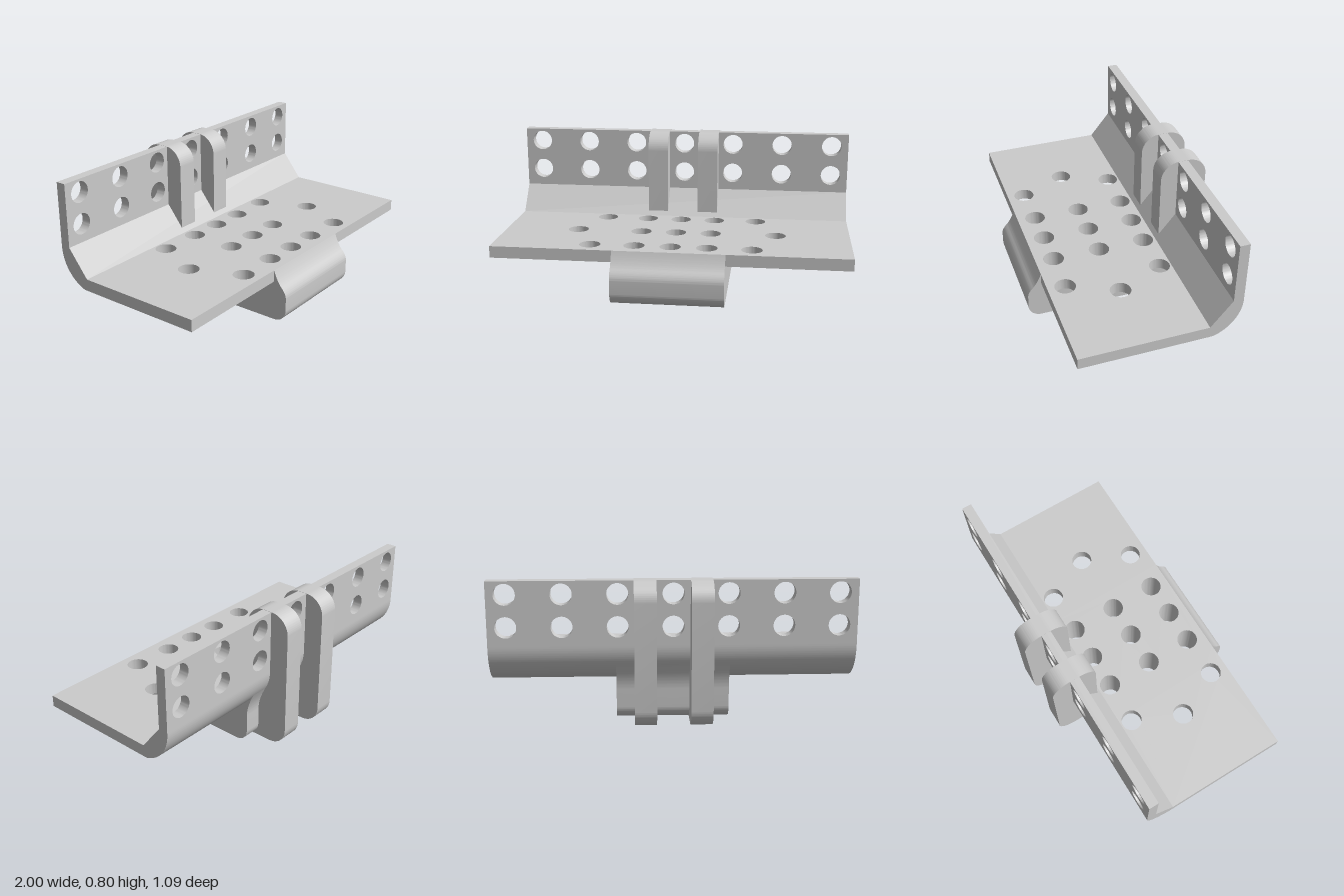
import * as THREE from 'three';
import { toCreasedNormals } from 'three/addons/utils/BufferGeometryUtils.js';

const material = new THREE.MeshStandardMaterial({ color: 0xcccccc });

function extrude(shape, depth) {
  return new THREE.ExtrudeGeometry(shape, { depth, bevelEnabled: false, curveSegments: 24 });
}

function part(name, geometry) {
  const mesh = new THREE.Mesh(toCreasedNormals(geometry, 0.5), material);
  mesh.name = name;
  return mesh;
}

// Rectangle pierced by round holes, given as [x, y] centres
function drilled(x0, x1, y0, y1, holes, radius) {
  const s = new THREE.Shape();
  s.moveTo(x0, y0).lineTo(x1, y0).lineTo(x1, y1).lineTo(x0, y1).closePath();
  for (const [x, y] of holes) s.holes.push(new THREE.Path().absarc(x, y, radius, 0, Math.PI * 2, true));
  return s;
}

// (z, y) profile swept along x between x0 and x1
function sweepX(shape, x0, x1) {
  return extrude(shape, x1 - x0).rotateY(-Math.PI / 2).translate(x1, 0, 0);
}

// (x, z) outline given a thickness from y0 up to y1
function slab(shape, y0, y1) {
  return extrude(shape, y1 - y0).rotateX(Math.PI / 2).translate(0, y1, 0);
}

export function createModel() {
  const group = new THREE.Group();
  const half = 0.3125, seam = -0.255, front = 0.465;
  const floorTop = 0.295, floorBottom = 0.228;

  // Upright plate with two rows of holes
  const wallHoles = [];
  for (let i = -3; i <= 3; i++) for (const y of [0.55, 0.73]) wallHoles.push([i * 0.3, y]);
  group.add(part('backPlate',
    extrude(drilled(-1, 1, 0.445, 0.803, wallHoles, 0.059), 0.057).translate(0, 0, -0.432)));

  // Bend: flat chamfer inside, round outside
  const bend = new THREE.Shape();
  bend.moveTo(seam, floorTop).lineTo(-0.375, 0.445).lineTo(-0.432, 0.445);
  bend.absarc(-0.21, 0.44, 0.222, Math.PI, Math.PI + 1.26, false);
  bend.lineTo(seam, floorBottom).closePath();
  group.add(part('bend', sweepX(bend, -1, 1)));

  // Floor plate to each side of the block
  for (const s of [-1, 1]) {
    const holes = [[s * 0.452, -0.188], [s * 0.577, 0.088], [s * 0.452, 0.365]];
    const outline = drilled(Math.min(s, s * half), Math.max(s, s * half), seam, front, holes, 0.059);
    group.add(part(s < 0 ? 'floorRight' : 'floorLeft', slab(outline, floorBottom, floorTop)));
  }

  // Deep central block with a grid of through holes
  const blockHoles = [];
  for (const x of [-0.203, 0, 0.203]) for (const z of [-0.183, 0.088, 0.36]) blockHoles.push([x, z]);
  group.add(part('block', slab(drilled(-half, half, seam, front, blockHoles, 0.059), 0, floorTop)));

  // Rounded front of the block
  const nose = new THREE.Shape();
  nose.moveTo(front, 0).lineTo(0.47, 0).absarc(0.47, 0.075, 0.075, -Math.PI / 2, 0, false);
  nose.lineTo(0.545, 0.145);
  nose.quadraticCurveTo(0.545, 0.175, 0.515, 0.205).quadraticCurveTo(0.487, 0.235, front, floorTop);
  nose.closePath();
  group.add(part('blockNose', sweepX(nose, -half, half)));

  // Rounded back of the block, flaring up into the bend
  const heel = new THREE.Shape();
  heel.moveTo(seam, 0).lineTo(seam, 0.285).lineTo(-0.38, 0.37).lineTo(-0.405, 0.335);
  heel.bezierCurveTo(-0.375, 0.275, -0.355, 0.23, -0.355, 0.17);
  heel.lineTo(-0.355, 0.075).absarc(-0.28, 0.075, 0.075, Math.PI, Math.PI * 1.5, false);
  heel.closePath();
  group.add(part('blockHeel', sweepX(heel, -half, half)));

  // Two vertical ribs straddling the upright plate
  const r = 0.108, z0 = -0.545, z1 = -0.275, top = 0.804;
  const rib = new THREE.Shape();
  rib.moveTo(z1, 0).lineTo(z1, top - r);
  rib.absarc(z1 - r, top - r, r, 0, Math.PI / 2, false);
  rib.absarc(z0 + r, top - r, r, Math.PI / 2, Math.PI, false);
  rib.absarc(z0 + r, r, r, Math.PI, Math.PI * 1.5, false);
  rib.closePath();
  for (const s of [-1, 1]) {
    group.add(part(s < 0 ? 'ribRight' : 'ribLeft', sweepX(rib, s * 0.152 - 0.06, s * 0.152 + 0.06)));
  }

  return group;
}
